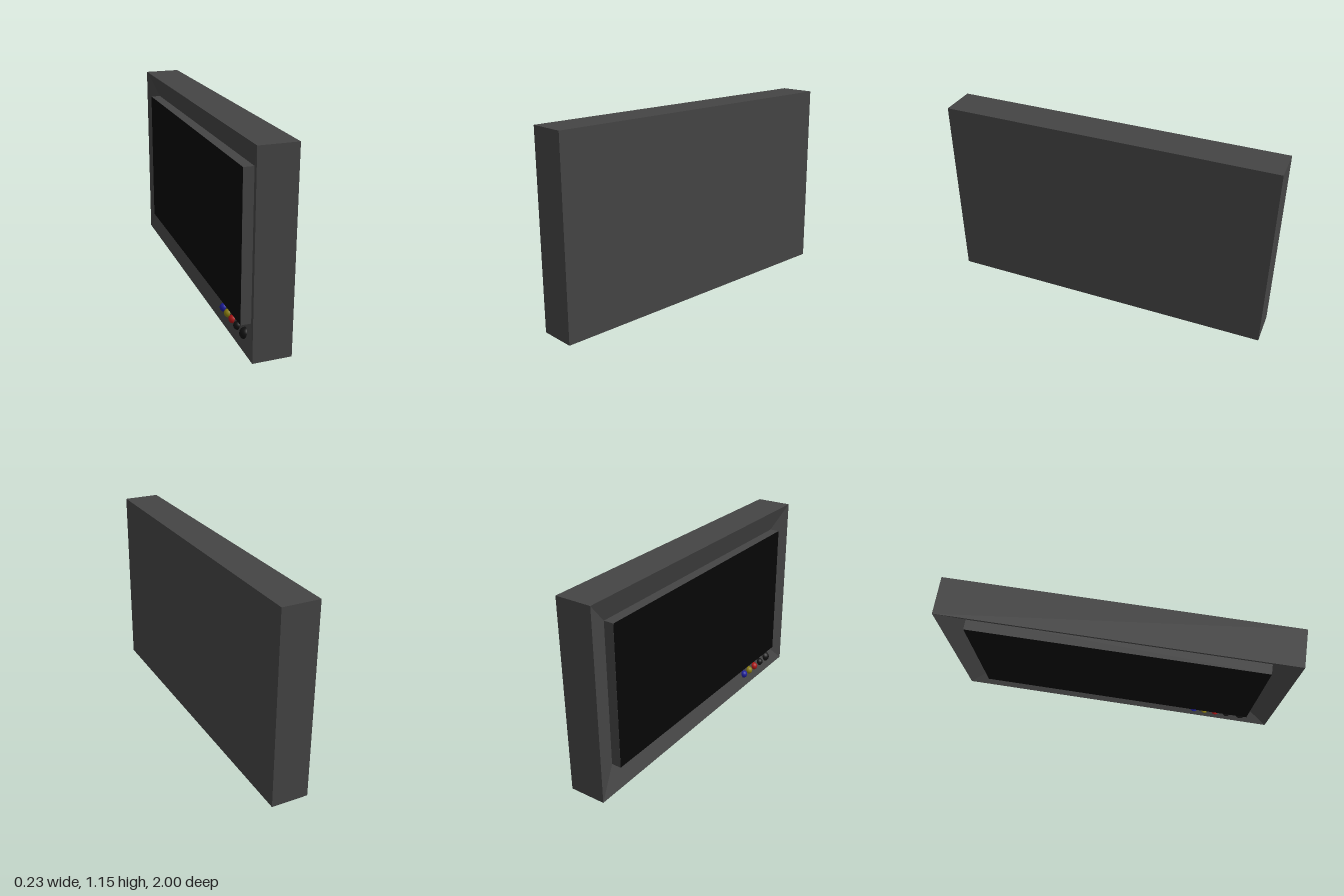
import * as THREE from 'three';

const H = 1.15, FRONT = -0.105, BACK = 0.115, FLOOR = -0.055, BORDER = 0.145;

// Four corners of an upright rectangle at depth x, inset from the outer edge
function ring(x, inset) {
  const z = 1 - inset, y0 = inset, y1 = H - inset;
  return [[x, y0, -z], [x, y0, z], [x, y1, z], [x, y1, -z]];
}

// Closed shell through successive rings, capped at both ends
function shellGeometry(rings) {
  const pos = [];
  const quad = (a, b, c, d) => pos.push(...a, ...b, ...c, ...a, ...c, ...d);
  for (let i = 0; i + 1 < rings.length; i++) {
    for (let j = 0; j < 4; j++) {
      const k = (j + 1) % 4;
      quad(rings[i][j], rings[i][k], rings[i + 1][k], rings[i + 1][j]);
    }
  }
  const [a, b, c, d] = rings[0];
  quad(d, c, b, a);
  quad(...rings[rings.length - 1]);
  const g = new THREE.BufferGeometry();
  g.setAttribute('position', new THREE.Float32BufferAttribute(pos, 3));
  g.computeVertexNormals();
  return g;
}

export function createModel() {
  const group = new THREE.Group();
  const add = (name, geometry, color, x, y, z) => {
    const mesh = new THREE.Mesh(geometry, new THREE.MeshStandardMaterial({ color }));
    mesh.name = name;
    mesh.position.set(x, y, z);
    group.add(mesh);
    return mesh;
  };

  // Cabinet: flat back, straight sides, bezel sloping in to the recess floor
  const cabinet = shellGeometry([ring(BACK, 0), ring(FRONT, 0), ring(FLOOR, BORDER)]);
  add('cabinet', cabinet, 0x444444, 0, 0, 0);

  // Raised panel standing out of the recess, with the dark glass on its face
  const w = 1.71, h = H - 2 * BORDER, panelFace = -0.1145;
  const depth = FLOOR + 0.01 - panelFace;
  add('screenPanel', new THREE.BoxGeometry(depth, h, w), 0x444444, panelFace + depth / 2, H / 2, 0);
  const glass = add('screenGlass', new THREE.PlaneGeometry(w, h), 0x070707, -0.115, H / 2, 0);
  glass.rotation.y = -Math.PI / 2;

  // Buttons set in a row along the lower bezel
  const buttons = [
    ['blueButton', 0x1c1c99, 0.515, 0.025],
    ['yellowButton', 0x8a7d10, 0.585, 0.025],
    ['redButton', 0xaa1414, 0.655, 0.025],
    ['blackButton', 0x111111, 0.73, 0.025],
    ['powerButton', 0x111111, 0.82, 0.034],
  ];
  for (const [name, color, z, r] of buttons) {
    add(name, new THREE.SphereGeometry(r, 24, 16), color, Math.max(-0.08, FRONT + r), 0.073, z);
  }
  return group;
}
